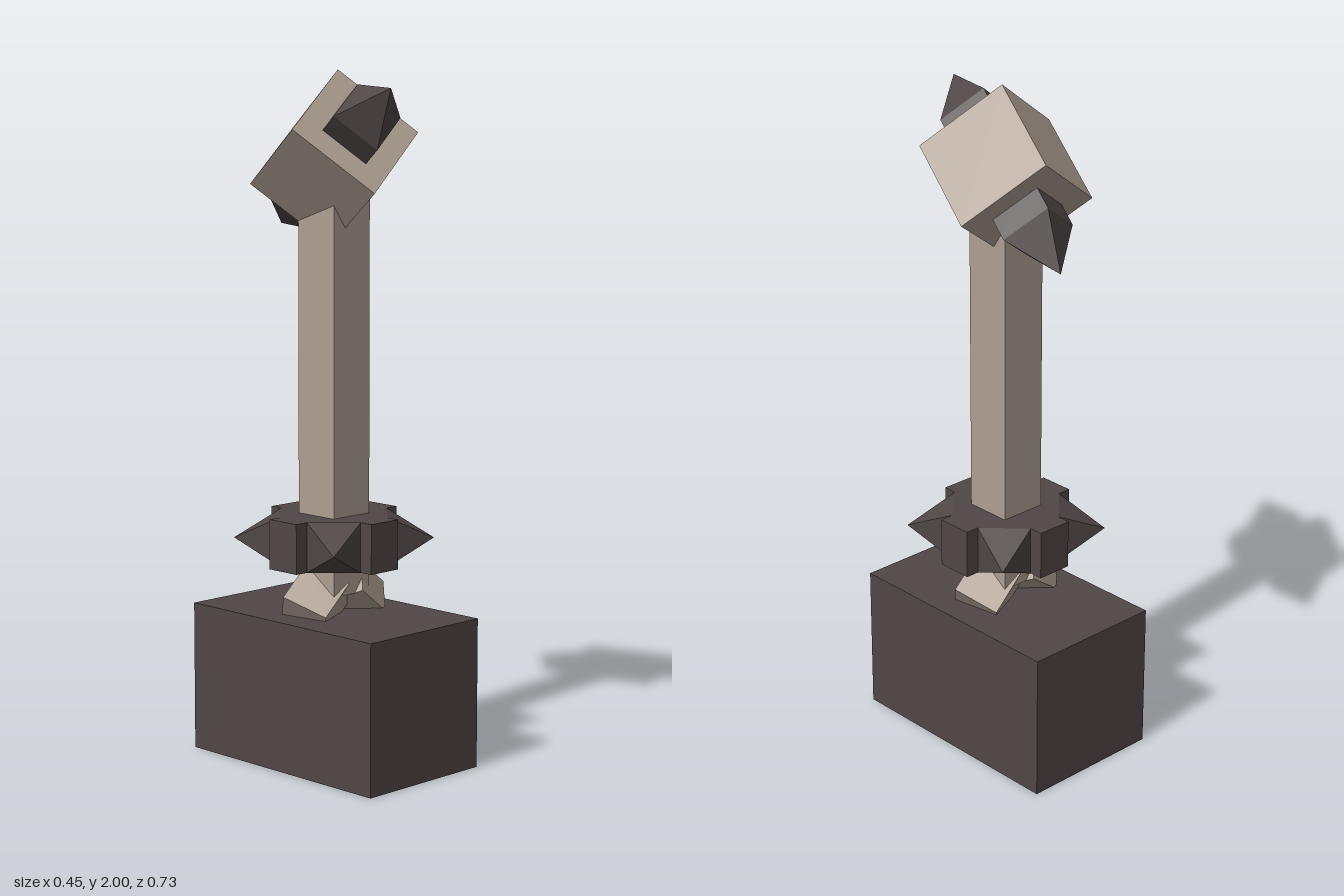
import * as THREE from 'three';

export function createModel() {
  const tan = new THREE.MeshStandardMaterial({ color: 0xae9f92, flatShading: true });
  tan.name = 'tan';
  const dark = new THREE.MeshStandardMaterial({ color: 0x504747, flatShading: true });
  dark.name = 'darkIron';

  const model = new THREE.Group();
  model.name = 'hammer';

  const box = (name, parent, mat, w, h, d, x = 0, y = 0, z = 0) => {
    const mesh = new THREE.Mesh(new THREE.BoxGeometry(w, h, d), mat);
    mesh.name = name;
    mesh.position.set(x, y, z);
    parent.add(mesh);
    return mesh;
  };

  // Square pyramid on a short square shank, pointing along +y
  const spike = (name, parent, width, height, shoulder, tip) => {
    const group = new THREE.Group();
    group.name = name;
    box('spikeShank', group, dark, width, shoulder, height, 0, shoulder / 2, 0);
    const geo = new THREE.ConeGeometry(Math.SQRT1_2, tip - shoulder, 4);
    geo.rotateY(Math.PI / 4);
    geo.scale(width, 1, height);
    const point = new THREE.Mesh(geo, dark);
    point.name = 'spikePoint';
    point.position.y = (shoulder + tip) / 2;
    group.add(point);
    parent.add(group);
    return group;
  };

  // Heavy head and shaft
  box('hammerHead', model, dark, 0.44, 0.44, 0.73, 0, 0.22, 0);
  box('shaft', model, tan, 0.144, 1.15, 0.144, 0, 1.075, 0);

  // Tilted stones wedged between head and collar
  for (const side of [-1, 1]) {
    const holder = new THREE.Group();
    holder.name = side < 0 ? 'rightStone' : 'leftStone';
    holder.rotation.y = side < 0 ? 0 : Math.PI;
    box('stone', holder, tan, 0.14, 0.1, 0.14, -0.075, 0.482, 0).rotation.set(0.4, 0.4, 0.5);
    model.add(holder);
  }

  // Collar: crossed lugs with spikes on the diagonals
  const collar = new THREE.Group();
  collar.name = 'collar';
  collar.position.y = 0.657;
  box('lugBarX', collar, dark, 0.41, 0.145, 0.11);
  box('lugBarZ', collar, dark, 0.11, 0.145, 0.41);
  for (let i = 0; i < 4; i++) {
    const arm = new THREE.Group();
    arm.name = 'collarArm';
    arm.rotation.y = Math.PI / 4 + i * Math.PI / 2;
    spike('collarSpike', arm, 0.152, 0.145, 0.154, 0.29).rotation.set(Math.PI / 2, 0, 0);
    collar.add(arm);
  }
  model.add(collar);

  // Tilted cube pommel with two opposite spikes
  const pommel = new THREE.Group();
  pommel.name = 'pommel';
  const yAxis = new THREE.Vector3(-0.198, 0.556, 0.808).normalize();
  const xAxis = new THREE.Vector3(-0.806, -0.556, 0.198);
  xAxis.addScaledVector(yAxis, -xAxis.dot(yAxis)).normalize();
  const zAxis = new THREE.Vector3().crossVectors(xAxis, yAxis);
  pommel.quaternion.setFromRotationMatrix(new THREE.Matrix4().makeBasis(xAxis, yAxis, zAxis));
  pommel.position.set(0, 1.7525, 0);
  box('pommelCube', pommel, tan, 0.288, 0.288, 0.288);
  spike('frontSpike', pommel, 0.152, 0.152, 0.215, 0.362);
  spike('backSpike', pommel, 0.152, 0.152, 0.215, 0.362).rotation.x = Math.PI;
  model.add(pommel);

  return model;
}
